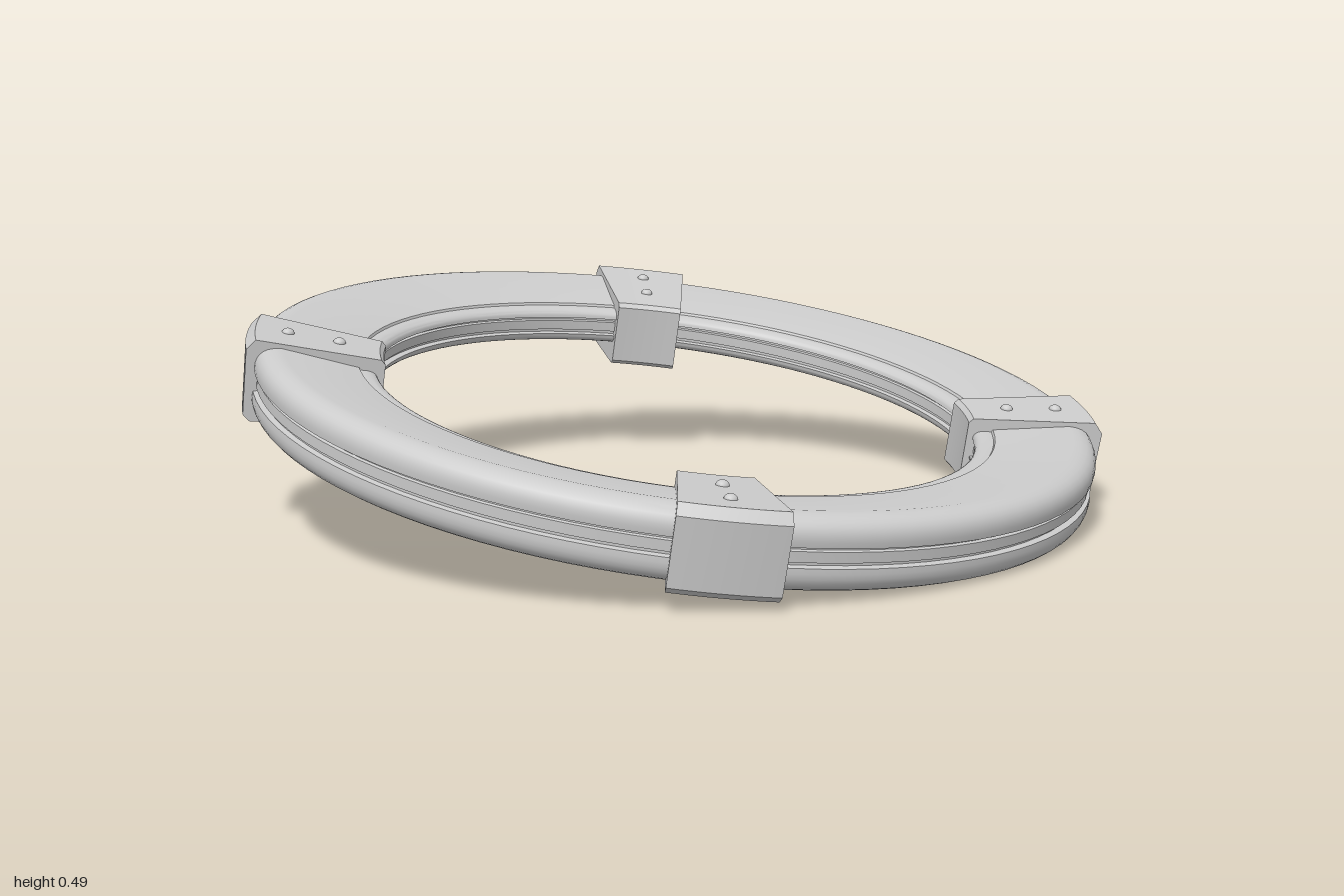
import * as THREE from 'three';
import { toCreasedNormals } from 'three/addons/utils/BufferGeometryUtils.js';

const TILT = 0.17;
const CLAMP_ANGLE = 0.235;

const material = new THREE.MeshStandardMaterial({ color: 0xcccccc });

function addMesh(parent, name, geometry) {
  const mesh = new THREE.Mesh(geometry, material);
  mesh.name = name;
  parent.add(mesh);
  return mesh;
}

// Ring: upper half of the cross-section, mirrored below, then revolved
function ringGeometry() {
  const path = new THREE.Path();
  path.moveTo(0.99, 0);
  path.lineTo(0.99, 0.012);
  path.lineTo(0.982, 0.014);
  path.lineTo(0.982, 0.02);
  path.lineTo(0.997, 0.022);
  path.bezierCurveTo(1.003, 0.055, 0.99, 0.084, 0.94, 0.083);
  path.lineTo(0.76, 0.05);
  path.lineTo(0.757, 0.044);
  path.bezierCurveTo(0.735, 0.046, 0.715, 0.04, 0.715, 0.022);
  path.lineTo(0.73, 0.02);
  path.lineTo(0.73, 0.014);
  path.lineTo(0.722, 0.012);
  path.lineTo(0.722, 0);
  const upper = path.getPoints(8);
  const lower = upper.slice(0, -1).reverse().map((p) => new THREE.Vector2(p.x, -p.y));
  return toCreasedNormals(new THREE.LatheGeometry([...upper, ...lower], 96), 0.5);
}

// Clamp: a bevelled block outline in (radius, height), swept around a short arc
function clampGeometry() {
  const outline = new THREE.Shape([
    [0.7, -0.085], [0.71, -0.095], [1.0, -0.095], [1.015, -0.08],
    [1.02, 0.075], [1.0, 0.099], [0.71, 0.071], [0.7, 0.06],
  ].map(([r, y]) => new THREE.Vector2(r, y)));
  const geometry = new THREE.ExtrudeGeometry(outline, { depth: 1, steps: 8, bevelEnabled: false });
  const pos = geometry.attributes.position;
  for (let i = 0; i < pos.count; i++) {
    const r = pos.getX(i);
    const a = (pos.getZ(i) - 0.5) * CLAMP_ANGLE;
    pos.setXYZ(i, r * Math.cos(a), pos.getY(i), r * Math.sin(a));
  }
  return toCreasedNormals(geometry, 0.4);
}

export function createModel() {
  const model = new THREE.Group();
  model.name = 'clampedRing';

  const tilted = new THREE.Group();
  tilted.name = 'tiltedRing';
  tilted.rotation.x = TILT;
  tilted.position.y = 0.25;
  model.add(tilted);

  addMesh(tilted, 'ring', ringGeometry());

  // Four clamps on the diagonals, each with two rivets above and a bolt below
  const clampGeo = clampGeometry();
  const domeGeo = new THREE.SphereGeometry(1, 20, 8, 0, Math.PI * 2, 0, Math.PI / 2);
  for (let k = 0; k < 4; k++) {
    const clamp = new THREE.Group();
    clamp.name = 'clamp' + (k + 1);
    clamp.rotation.y = Math.PI / 4 + (k * Math.PI) / 2;
    tilted.add(clamp);

    addMesh(clamp, 'clampBody', clampGeo);
    for (const [r, y] of [[0.925, 0.091], [0.805, 0.08]]) {
      const rivet = addMesh(clamp, 'rivet', domeGeo);
      rivet.position.set(r, y, 0);
      rivet.scale.set(0.015, 0.012, 0.015);
    }
    const bolt = addMesh(clamp, 'bolt', domeGeo);
    bolt.position.set(0.865, -0.094, 0);
    bolt.rotation.x = Math.PI;
    bolt.scale.set(0.045, 0.022, 0.045);
  }
  return model;
}
